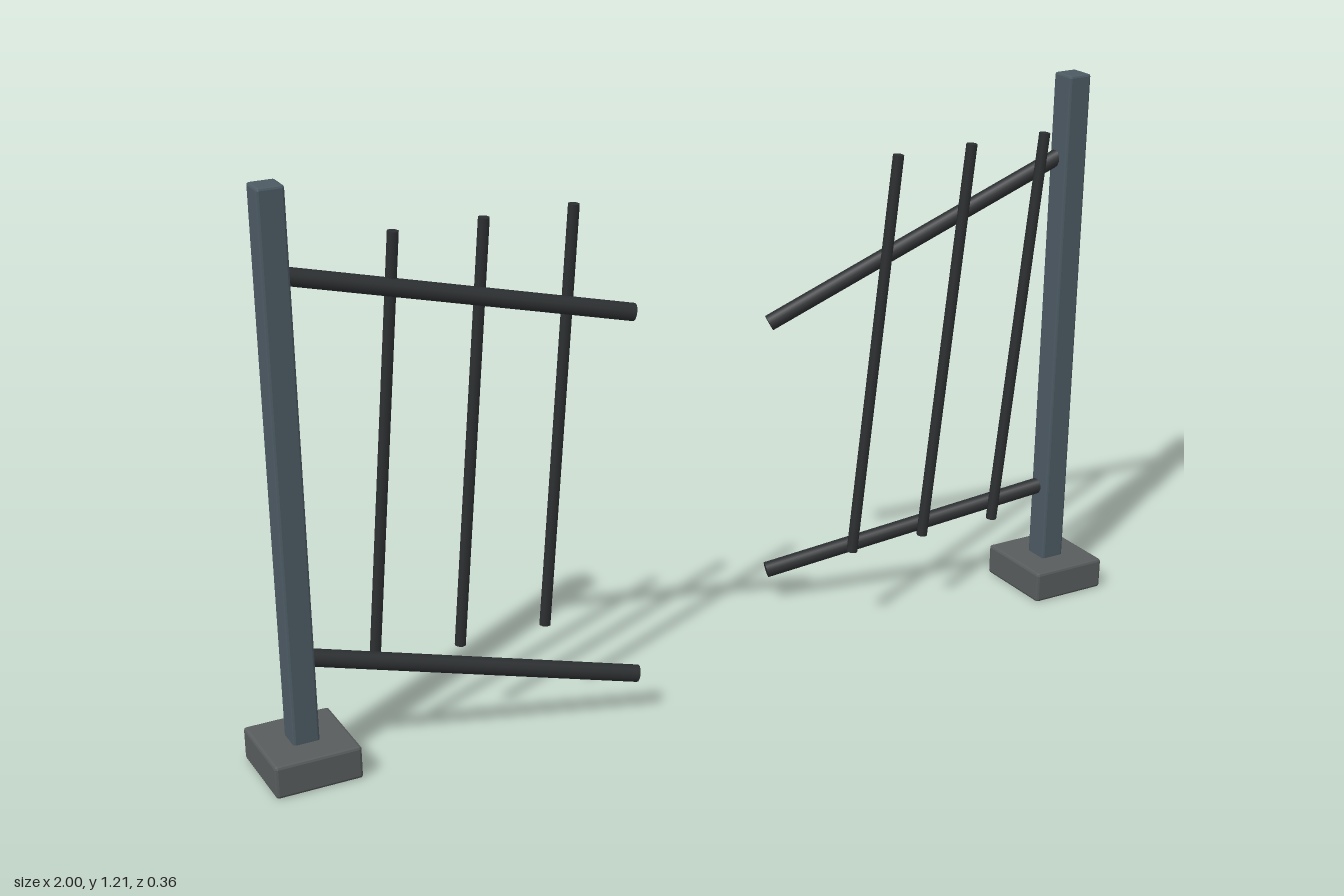
import * as THREE from 'three';
import { RoundedBoxGeometry } from 'three/addons/geometries/RoundedBoxGeometry.js';

const POST_X = 0.91;
const POST_Z = 0.045;

const baseMat = new THREE.MeshStandardMaterial({ color: 0x585c5c, flatShading: true });
const postMat = new THREE.MeshStandardMaterial({ color: 0x4c5a63, flatShading: true });
const ironMat = new THREE.MeshStandardMaterial({ color: 0x2c2f31 });

// Chamfered block standing on height y
function block(name, w, h, d, chamfer, x, y, material) {
  const mesh = new THREE.Mesh(new RoundedBoxGeometry(w, h, d, 1, chamfer), material);
  mesh.name = name;
  mesh.position.set(x, y + h / 2, POST_Z);
  return mesh;
}

// Round rod between two points
function rod(name, from, to, radius, sides) {
  const a = new THREE.Vector3(...from);
  const b = new THREE.Vector3(...to);
  const dir = b.clone().sub(a);
  const mesh = new THREE.Mesh(new THREE.CylinderGeometry(radius, radius, dir.length(), sides), ironMat);
  mesh.name = name;
  mesh.position.copy(a).add(b).multiplyScalar(0.5);
  mesh.quaternion.setFromUnitVectors(new THREE.Vector3(0, 1, 0), dir.normalize());
  return mesh;
}

function gateHalf(name, side, upperEnd, lowerEnd, barXs) {
  const half = new THREE.Group();
  half.name = name;
  const x = side * POST_X;

  // Footing and post
  half.add(block('footing', 0.18, 0.07, 0.19, 0.006, x, 0, baseMat));
  half.add(block('post', 0.055, 1.15, 0.057, 0.005, x, 0.055, postMat));

  // Sagging rails
  half.add(rod('upperRail', [x, 1.03, 0.04], upperEnd, 0.018, 12));
  half.add(rod('lowerRail', [x, 0.245, 0.04], lowerEnd, 0.018, 12));

  // Leaning bars, all tilted the same way
  barXs.forEach((bx, i) =>
    half.add(rod('bar' + (i + 1), [bx, 0.19, 0.045], [bx + 0.07, 1.09, 0.075], 0.012, 8)));
  return half;
}

export function createModel() {
  const gate = new THREE.Group();
  gate.name = 'brokenGate';
  gate.add(gateHalf('rightGateHalf', -1, [-0.22, 0.88, 0.16], [-0.22, 0.09, 0.16], [-0.75, -0.565, -0.375]));
  gate.add(gateHalf('leftGateHalf', 1, [0.28, 0.675, -0.165], [0.28, 0.08, -0.165], [0.375, 0.56, 0.75]));
  return gate;
}
